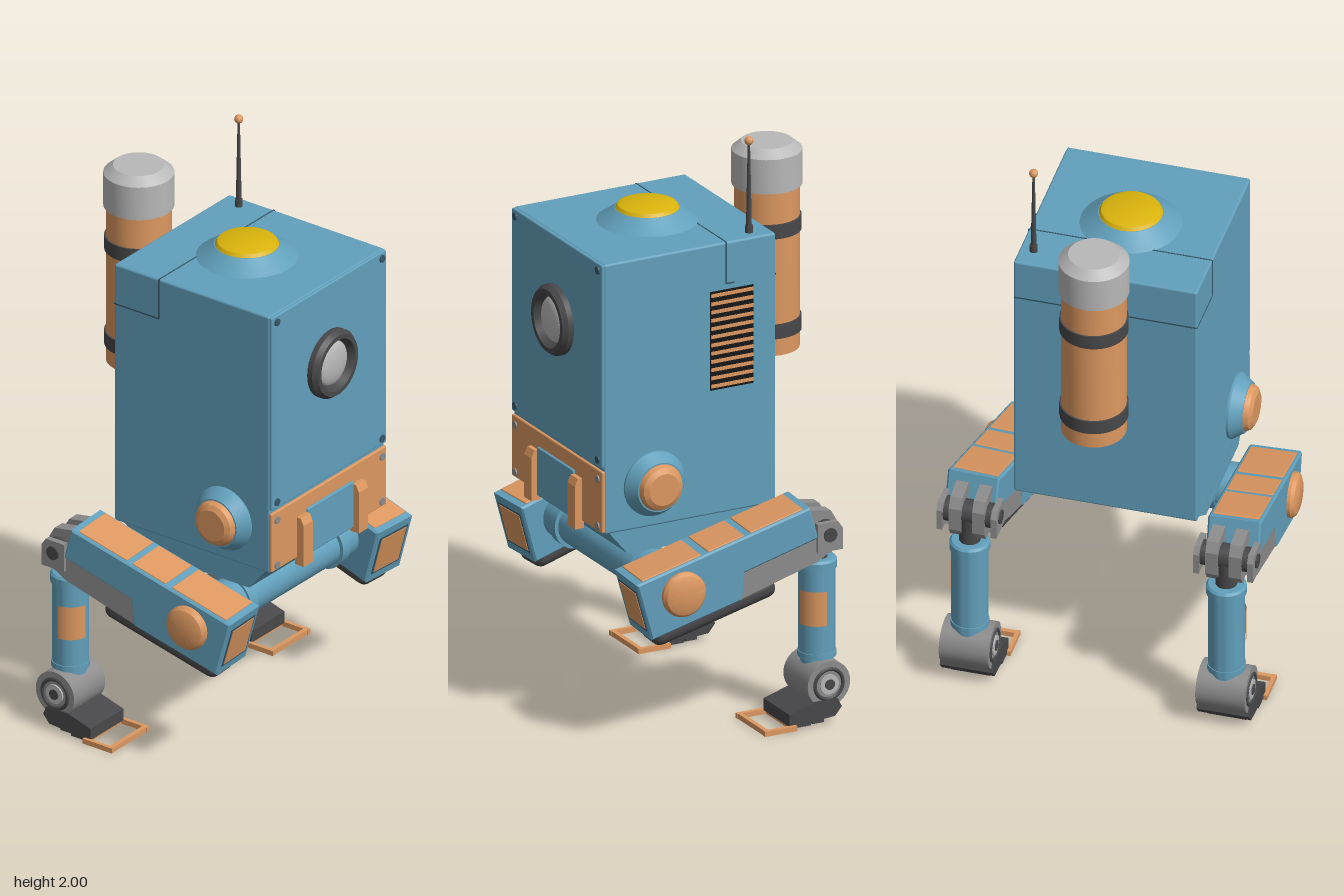
import * as THREE from 'three';
import { RoundedBoxGeometry } from 'three/addons/geometries/RoundedBoxGeometry.js';
import { toCreasedNormals } from 'three/addons/utils/BufferGeometryUtils.js';

const mat = (color) => new THREE.MeshStandardMaterial({ color });
const blue = mat(0x62a0bc), blueDark = mat(0x35586a), orange = mat(0xdd9860), yellow = mat(0xdab40c);
const light = mat(0xb8b8b8), grey = mat(0x8c8c8c), dark = mat(0x48484a), black = mat(0x161616);

function add(parent, name, geometry, material, x = 0, y = 0, z = 0) {
  const mesh = new THREE.Mesh(geometry, material);
  mesh.name = name;
  mesh.position.set(x, y, z);
  parent.add(mesh);
  return mesh;
}
const box = (w, h, d) => new THREE.BoxGeometry(w, h, d);
const rbox = (w, h, d, r = 0.008) => new RoundedBoxGeometry(w, h, d, 2, r);
const cyl = (r, h, rTop = r) => new THREE.CylinderGeometry(rTop, r, h, 40);
const cylX = (r, w) => cyl(r, w).rotateZ(Math.PI / 2);

// Lathe from [radius, height] pairs with crisp edges
const lathe = (pts) => toCreasedNormals(
  new THREE.LatheGeometry(pts.map(([r, h]) => new THREE.Vector2(r, h)), 48), 0.5);

// Side profile of [z, y] pairs given a width across x
function slab(pts, width, bevel = 0) {
  const shape = new THREE.Shape(pts.map(([z, y]) => new THREE.Vector2(z, y)));
  return new THREE.ExtrudeGeometry(shape, {
    depth: width - 2 * bevel, bevelEnabled: bevel > 0, bevelSize: bevel,
    bevelThickness: bevel, bevelOffset: -bevel, bevelSegments: 1,
  }).translate(0, 0, bevel - width / 2).rotateY(-Math.PI / 2);
}

function buildBody() {
  const g = new THREE.Group();
  g.name = 'body';
  add(g, 'hull', rbox(0.626, 0.945, 0.639), blue, 0, 1.1925, 0.1045);
  add(g, 'underside', slab([[0.41, 0.73], [0.33, 0.635], [-0.06, 0.635], [-0.205, 0.73]], 0.6), blue);
  add(g, 'frontPlate', rbox(0.622, 0.71, 0.014, 0.005), blue, 0, 1.308, 0.426);
  add(g, 'lowerPlate', rbox(0.624, 0.215, 0.014, 0.005), orange, 0, 0.833, 0.426);
  add(g, 'hatch', rbox(0.25, 0.17, 0.022, 0.005), blue, 0, 0.803, 0.43);
  for (const s of [-1, 1]) {
    // Grab handles on the lower plate
    add(g, 'handle', slab([[0.425, 0.875], [0.448, 0.875], [0.46, 0.85], [0.46, 0.7], [0.425, 0.7]], 0.05), orange, s * 0.15);
    for (const y of [1.64, 0.977, 0.91, 0.745])
      add(g, 'screw', cyl(0.013, 0.01).rotateX(Math.PI / 2), y > 0.95 ? blueDark : grey, s * 0.285, y, 0.433);
    // Hip bosses
    add(g, 'hipBoss', lathe([[0.112, 0], [0.112, 0.01], [0.085, 0.05], [0, 0.05]]).rotateZ(-s * Math.PI / 2), blue, s * 0.311, 0.87, 0.24);
    add(g, 'hipCap', lathe([[0.08, 0], [0.08, 0.05], [0.072, 0.067], [0.055, 0.077], [0, 0.077]]).rotateZ(-s * Math.PI / 2), orange, s * 0.311, 0.87, 0.24);
    add(g, 'sideSeam', box(0.002, 0.145, 0.005), blueDark, s * 0.313, 1.592, -0.03);
    const len = s > 0 ? 0.03 : 0.185;
    add(g, 'sideSeamFoot', box(0.002, 0.005, len), blueDark, s * 0.313, 1.52, -0.03 - len / 2);
  }
  add(g, 'topSeam', box(0.622, 0.002, 0.005), blueDark, 0, 1.665, -0.03);
  add(g, 'backSeam', box(0.622, 0.005, 0.002), blueDark, 0, 1.52, -0.215);

  // Round eye
  const eye = new THREE.Group();
  eye.name = 'eye';
  eye.position.set(0, 1.375, 0.428);
  g.add(eye);
  add(eye, 'eyeRim', lathe([[0.12, 0], [0.12, 0.025], [0.108, 0.042], [0.092, 0.042], [0.08, 0.015], [0, 0.015]]).rotateX(Math.PI / 2), dark);
  add(eye, 'eyeLens', new THREE.SphereGeometry(0.078, 32, 12, 0, Math.PI * 2, 0, Math.PI / 2).scale(1, 0.32, 1).rotateX(Math.PI / 2), light, 0, 0, 0.014);

  // Louvred vent on one side
  add(g, 'ventRecess', box(0.004, 0.345, 0.16), black, 0.313, 1.328, -0.05);
  for (let i = 0; i < 12; i++)
    add(g, 'ventSlat', box(0.008, 0.012, 0.156), orange, 0.314, 1.17 + i * 0.0288, -0.05);

  // Roof light
  add(g, 'lightBase', lathe([[0.17, 0], [0.14, 0.02], [0.108, 0.044], [0, 0.044]]), blue, 0, 1.664, 0.095);
  add(g, 'roofLight', lathe([[0.107, 0], [0.107, 0.042], [0.098, 0.055], [0.08, 0.061], [0, 0.064]]), yellow, 0, 1.664, 0.095);

  // Antenna
  add(g, 'antennaBase', cyl(0.013, 0.03), dark, 0.265, 1.675, -0.14);
  add(g, 'antennaRod', cyl(0.01, 0.31, 0.004), dark, 0.265, 1.82, -0.14);
  add(g, 'antennaTip', new THREE.SphereGeometry(0.015, 16, 12), orange, 0.265, 1.985, -0.14);
  return g;
}

function buildTank() {
  const g = new THREE.Group();
  g.name = 'backTank';
  g.position.z = -0.35;
  add(g, 'tank', lathe([[0, 1.145], [0.108, 1.145], [0.108, 1.72]]), orange);
  add(g, 'tankCap', lathe([[0.1, 1.715], [0.117, 1.715], [0.117, 1.835], [0.085, 1.862], [0, 1.862]]), light);
  for (const y of [1.58, 1.23]) {
    add(g, 'strap', cyl(0.114, 0.05), dark, 0, y);
    for (const s of [-1, 1]) add(g, 'strapBracket', box(0.022, 0.045, 0.07), dark, s * 0.035, y, 0.105);
  }
  return g;
}

function buildThigh(s) {
  const g = new THREE.Group();
  g.name = 'thigh';
  g.position.set(s * 0.418, 0.545, 0.23);
  g.rotation.set(0.27, -s * 0.058, 0, 'YXZ');
  add(g, 'thighShell', slab([[0.147, -0.113], [0.147, 0.096], [-0.504, 0.096], [-0.504, -0.02], [-0.227, -0.024], [-0.192, -0.113]], 0.178, 0.006), blue);
  add(g, 'thighBracket', slab([[-0.185, -0.11], [-0.22, -0.018], [-0.5, -0.016], [-0.53, -0.03], [-0.53, -0.085], [-0.48, -0.1]], 0.165), grey);
  // Inlaid panels on top and at the front
  for (const [a, b] of [[0.122, -0.1], [-0.126, -0.262], [-0.284, -0.482]])
    add(g, 'topPanel', rbox(0.156, 0.012, a - b, 0.003), orange, 0, 0.094, (a + b) / 2);
  add(g, 'frontPanelFrame', box(0.14, 0.15, 0.006), blueDark, 0, -0.008, 0.146);
  add(g, 'frontPanel', box(0.125, 0.135, 0.008), orange, 0, -0.008, 0.147);
  add(g, 'jointCap', lathe([[0.077, 0], [0.077, 0.012], [0.068, 0.024], [0.05, 0.031], [0, 0.031]]).rotateZ(-s * Math.PI / 2), orange, s * 0.088);
  // Rounded bumper below
  const pad = rbox(0.13, 0.068, 0.46, 0.03);
  add(g, 'bumper', pad, dark, 0, -0.131, -0.1);
  return g;
}

function buildShin(s) {
  const g = new THREE.Group();
  g.name = 'shin';
  g.position.set(s * 0.437, 0, -0.3);
  // Knee forks and pin
  for (const k of [-1, 1]) {
    add(g, 'kneeFork', slab([[0.075, 0.72], [0.055, 0.748], [-0.02, 0.735], [-0.04, 0.7], [-0.04, 0.615], [-0.02, 0.585], [0.05, 0.6]], 0.042), grey, k * 0.04);
    add(g, 'kneeCheek', slab([[0.05, 0.71], [-0.025, 0.71], [-0.042, 0.685], [-0.042, 0.61], [0.05, 0.61]], 0.02), grey, k * 0.092);
  }
  add(g, 'kneePin', cylX(0.024, 0.215), dark, 0, 0.667, 0.005);
  add(g, 'kneeBarrel', cylX(0.042, 0.17), dark, 0, 0.667, 0.005);
  add(g, 'kneeRod', cyl(0.036, 0.13), dark, 0, 0.6, 0);
  // Shin tube with collars
  add(g, 'shinTube', lathe([[0, 0.15], [0.055, 0.15], [0.055, 0.215], [0.064, 0.215], [0.064, 0.235], [0.061, 0.235],
    [0.061, 0.525], [0.067, 0.525], [0.067, 0.552], [0.06, 0.56], [0, 0.56]]), blue);
  const start = s > 0 ? 0.08 : -1.6;
  const patch = new THREE.CylinderGeometry(0.066, 0.066, 0.12, 20, 1, true, start, 1.52);
  const patchMat = orange.clone();
  patchMat.side = THREE.DoubleSide;
  add(g, 'shinPatch', patch, patchMat, 0, 0.395, 0);
  // Ankle drum
  add(g, 'ankleDrum', cylX(0.079, 0.168), grey, 0, 0.138, 0);
  for (const k of [-1, 1]) {
    add(g, 'ankleRing', new THREE.TorusGeometry(0.052, 0.007, 8, 32).rotateY(Math.PI / 2), dark, k * 0.083, 0.138, 0);
    add(g, 'ankleRim', cylX(0.034, 0.01), light, k * 0.085, 0.138, 0);
    add(g, 'ankleHub', cylX(0.018, 0.012), dark, k * 0.087, 0.138, 0);
  }
  // Foot block, heel and open toe frame
  add(g, 'foot', slab([[0.15, 0.016], [0.15, 0.058], [0.06, 0.085], [-0.03, 0.085], [-0.045, 0.055], [-0.02, 0.025], [0.05, 0.02]], 0.18), dark);
  add(g, 'heel', box(0.13, 0.035, 0.042), dark, 0, 0.0175, 0.03);
  add(g, 'sole', box(0.18, 0.018, 0.06), dark, 0, 0.017, 0.1);
  for (const k of [-1, 1]) add(g, 'toeBar', box(0.014, 0.018, 0.12), orange, k * 0.095, 0.011, 0.187);
  add(g, 'toeTip', box(0.204, 0.018, 0.016), orange, 0, 0.011, 0.237);
  add(g, 'toeBack', box(0.204, 0.018, 0.014), orange, 0, 0.011, 0.134);
  return g;
}

export function createModel() {
  const model = new THREE.Group();
  model.name = 'walkerRobot';
  model.add(buildBody(), buildTank());

  // Hip axle between the legs
  add(model, 'hipAxle', cylX(0.073, 0.68), blue, 0, 0.545, 0.23);
  add(model, 'axleMount', box(0.08, 0.08, 0.08), blue, 0, 0.625, 0.23);
  for (const s of [-1, 1]) {
    add(model, 'axleCollar', cylX(0.086, 0.04), blue, s * 0.25, 0.545, 0.23);
    add(model, 'axleEnd', cylX(0.078, 0.09), blue, s * 0.3, 0.545, 0.23);
    const leg = new THREE.Group();
    leg.name = s > 0 ? 'leftLeg' : 'rightLeg';
    leg.add(buildThigh(s), buildShin(s));
    model.add(leg);
  }
  return model;
}
